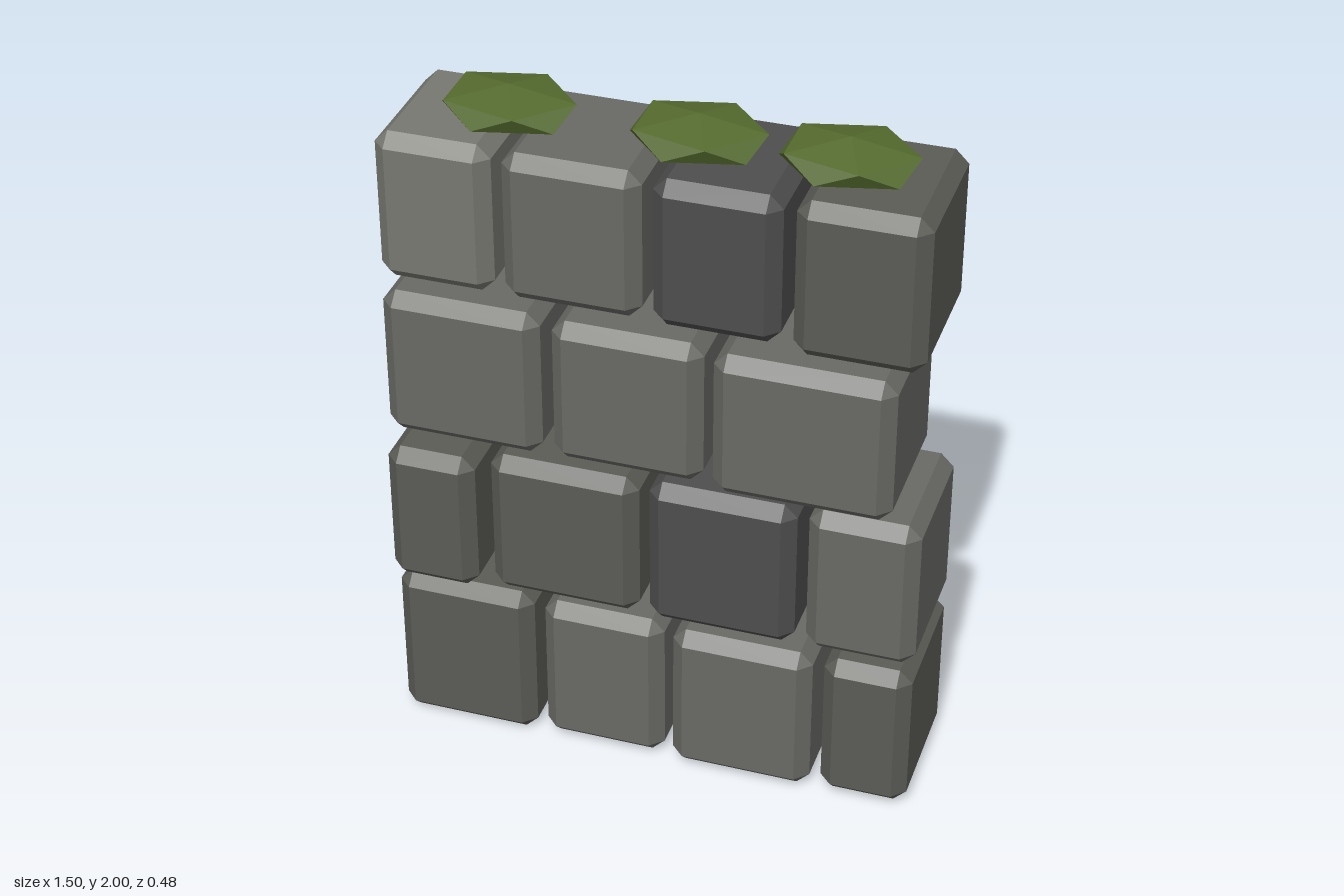
import * as THREE from 'three';
import { ConvexGeometry } from 'three/addons/geometries/ConvexGeometry.js';

const stone = (color) => new THREE.MeshStandardMaterial({ color, flatShading: true });
const STONES = {
  pale: stone(0x777870),
  mid: stone(0x696965),
  dull: stone(0x5b5c56),
  dark: stone(0x4e4e4e),
};
const MOSS = stone(0x556b2f);

// Box with every edge and corner cut by a flat chamfer
function chamferedBox(w, h, d, c) {
  const half = [w / 2, h / 2, d / 2];
  const points = [];
  for (const sx of [-1, 1]) for (const sy of [-1, 1]) for (const sz of [-1, 1]) {
    for (let axis = 0; axis < 3; axis++) {
      const [x, y, z] = half.map((v, i) => (i === axis ? v : v - c));
      points.push(new THREE.Vector3(sx * x, sy * y, sz * z));
    }
  }
  return new ConvexGeometry(points);
}

// Courses from the ground up; each block: x0, x1, y0, y1, z0, z1, stone
const COURSES = [
  [
    [-0.755, -0.35, 0, 0.49, -0.225, 0.205, 'dull'],
    [-0.32, 0.035, 0.01, 0.48, -0.235, 0.2, 'mid'],
    [0.065, 0.47, 0.012, 0.48, -0.235, 0.215, 'mid'],
    [0.5, 0.75, 0.015, 0.477, -0.23, 0.205, 'dull'],
  ],
  [
    [-0.755, -0.5, 0.508, 0.943, -0.2, 0.24, 'dull'],
    [-0.467, -0.037, 0.5, 0.95, -0.235, 0.2, 'dull'],
    [-0.008, 0.41, 0.498, 0.957, -0.225, 0.2, 'dark'],
    [0.44, 0.75, 0.496, 0.957, -0.238, 0.19, 'mid'],
  ],
  [
    [-0.755, -0.308, 0.985, 1.43, -0.215, 0.21, 'mid'],
    [-0.275, 0.148, 0.99, 1.425, -0.215, 0.21, 'mid'],
    [0.18, 0.675, 0.988, 1.425, -0.215, 0.23, 'mid'],
  ],
  [
    [-0.755, -0.434, 1.47, 1.907, -0.228, 0.2, 'pale'],
    [-0.402, -0.022, 1.473, 1.907, -0.217, 0.207, 'mid'],
    [0.01, 0.355, 1.473, 1.907, -0.22, 0.215, 'dark'],
    [0.39, 0.743, 1.46, 1.915, -0.217, 0.222, 'dull'],
  ],
];

export function createModel() {
  const wall = new THREE.Group();
  wall.name = 'stoneWall';

  // Stone blocks
  COURSES.forEach((blocks, row) => {
    const course = new THREE.Group();
    course.name = `course${row + 1}`;
    blocks.forEach(([x0, x1, y0, y1, z0, z1, tone], i) => {
      const block = new THREE.Mesh(chamferedBox(x1 - x0, y1 - y0, z1 - z0, 0.037), STONES[tone]);
      block.name = `block${i + 1}`;
      block.position.set((x0 + x1) / 2, (y0 + y1) / 2, (z0 + z1) / 2);
      course.add(block);
    });
    wall.add(course);
  });

  // Flattened moss clumps, each with one point straight up
  const clump = new THREE.IcosahedronGeometry(1, 0);
  clump.rotateZ(-Math.atan(2 / (1 + Math.sqrt(5))));
  clump.scale(0.209, 0.056, 0.159);
  [-0.445, 0.072, 0.472].forEach((x, i) => {
    const moss = new THREE.Mesh(clump, MOSS);
    moss.name = `mossClump${i + 1}`;
    moss.position.set(x, 1.944, -0.01);
    wall.add(moss);
  });

  return wall;
}
